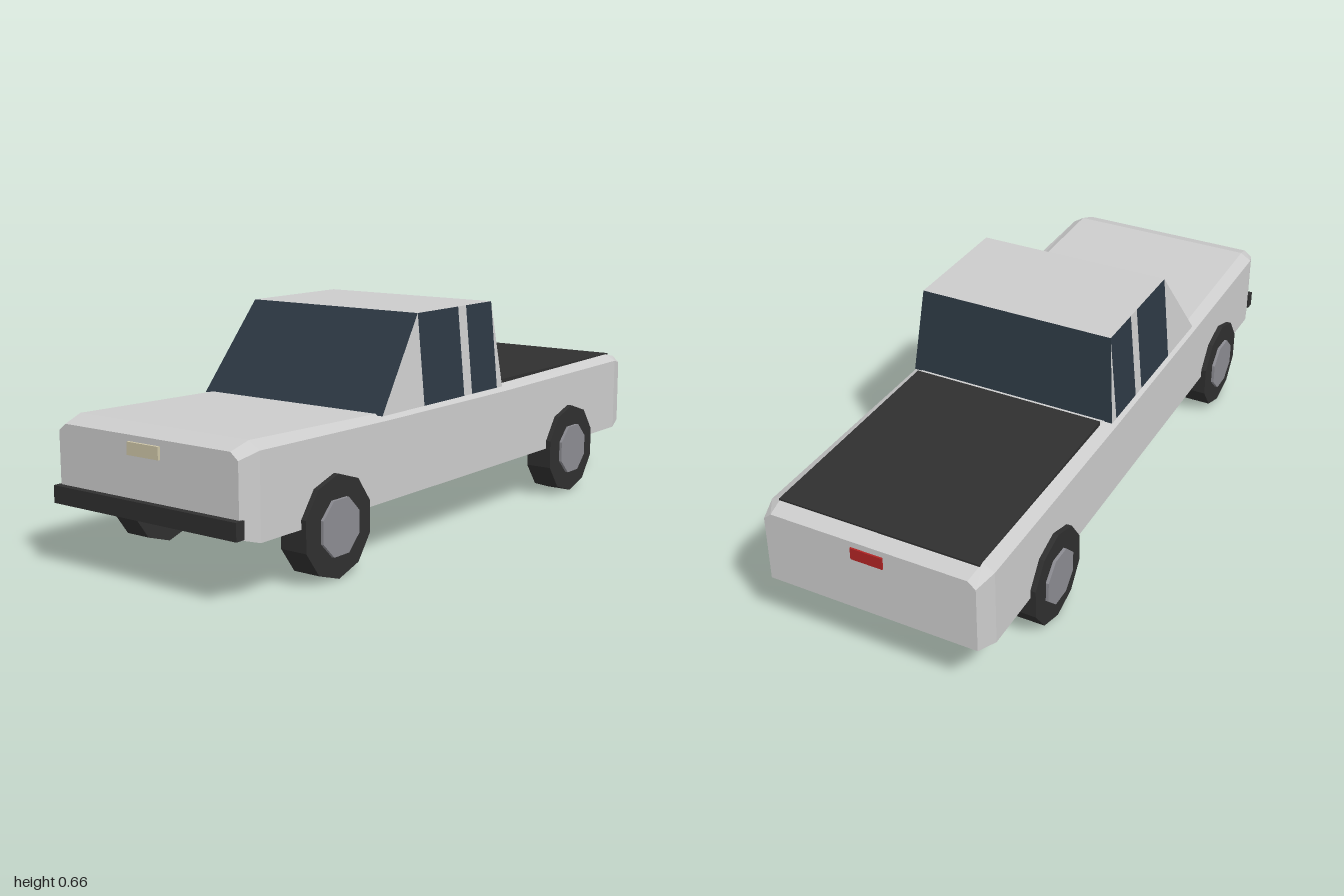
import * as THREE from 'three';

const material = (color) => new THREE.MeshStandardMaterial({ color, flatShading: true, side: THREE.DoubleSide });
const paint = material(0xcccccc);
const glass = material(0x2c3843);
const rubber = material(0x2f2f2f);
const hubMetal = material(0x8c8c92);
const plateTan = material(0xccc4a6);
const lampRed = material(0xb02424);

function mesh(name, geometry, mat) {
  const m = new THREE.Mesh(geometry, mat);
  m.name = name;
  return m;
}

function box(name, mat, [x0, x1], [y0, y1], [z0, z1]) {
  const m = mesh(name, new THREE.BoxGeometry(x1 - x0, y1 - y0, z1 - z0), mat);
  m.position.set((x0 + x1) / 2, (y0 + y1) / 2, (z0 + z1) / 2);
  return m;
}

// Flat panel from corners listed counter-clockwise as seen from outside
function panel(name, mat, corners) {
  const pos = [];
  for (let i = 1; i < corners.length - 1; i++) pos.push(...corners[0], ...corners[i], ...corners[i + 1]);
  const g = new THREE.BufferGeometry();
  g.setAttribute('position', new THREE.Float32BufferAttribute(pos, 3));
  g.computeVertexNormals();
  return mesh(name, g, mat);
}

// Body shell lofted through six-sided cross-sections from nose to tail
function bodyShell() {
  // z, half width, half width of the top, bottom, shoulder, top
  const stations = [
    [0.98, 0.32, 0.295, 0.178, 0.375, 0.395],
    [0.92, 0.337, 0.302, 0.16, 0.393, 0.415],
    [0.4, 0.337, 0.302, 0.16, 0.386, 0.402],
    [-0.2, 0.337, 0.302, 0.16, 0.384, 0.4],
    [-0.93, 0.337, 0.302, 0.16, 0.391, 0.411],
    [-0.995, 0.318, 0.295, 0.175, 0.377, 0.397],
  ];
  const rings = stations.map(([z, w, t, b, s, y]) => [
    [w, b, z], [w, s, z], [t, y, z], [-t, y, z], [-w, s, z], [-w, b, z],
  ]);
  const pos = [];
  const tri = (a, b, c) => pos.push(...a, ...b, ...c);
  for (let i = 0; i < rings.length - 1; i++) {
    for (let j = 0; j < 6; j++) {
      const k = (j + 1) % 6;
      tri(rings[i][j], rings[i + 1][j], rings[i + 1][k]);
      tri(rings[i][j], rings[i + 1][k], rings[i][k]);
    }
  }
  const nose = rings[0], tail = rings[rings.length - 1];
  for (let j = 1; j < 5; j++) {
    tri(nose[0], nose[j], nose[j + 1]);
    tri(tail[0], tail[j + 1], tail[j]);
  }
  const g = new THREE.BufferGeometry();
  g.setAttribute('position', new THREE.Float32BufferAttribute(pos, 3));
  g.computeVertexNormals();
  return mesh('body', g, paint);
}

function cabin() {
  const g = new THREE.Group();
  g.name = 'cabin';
  const low = 0.398, high = 0.66, wLow = 0.328, wHigh = 0.303;
  const frontLow = 0.405, frontHigh = 0.205, backHigh = -0.18, backLow = -0.21;
  g.add(panel('windshield', glass, [
    [-wLow, low, frontLow], [wLow, low, frontLow], [wHigh, high, frontHigh], [-wHigh, high, frontHigh]]));
  g.add(panel('rearWindow', glass, [
    [wLow, low, backLow], [-wLow, low, backLow], [-wHigh, high, backHigh], [wHigh, high, backHigh]]));
  g.add(panel('roof', paint, [
    [-wHigh, high, frontHigh], [wHigh, high, frontHigh], [wHigh, high, backHigh], [-wHigh, high, backHigh]]));

  // Side strips from front to back: z at the bottom and at the top of each dividing line
  const lines = [[frontLow, frontHigh], [0.205, 0.205], [0, 0], [-0.042, -0.042], [-0.18, -0.18], [backLow, backHigh]];
  const strips = [['frontPillar', paint], ['frontSideWindow', glass], ['middlePillar', paint],
    ['rearSideWindow', glass], ['rearPillar', paint]];
  for (const side of [1, -1]) {
    strips.forEach(([name, mat], i) => {
      const [a, b] = [lines[i], lines[i + 1]];
      const corners = [[side * wLow, low, a[0]], [side * wLow, low, b[0]], [side * wHigh, high, b[1]]];
      if (a[1] !== b[1]) corners.push([side * wHigh, high, a[1]]);
      if (side < 0) corners.reverse();
      g.add(panel((side > 0 ? 'left ' : 'right ') + name, mat, corners));
    });
  }
  return g;
}

function wheel(side, z) {
  const g = new THREE.Group();
  g.name = (side > 0 ? 'left ' : 'right ') + (z > 0 ? 'frontWheel' : 'rearWheel');
  // Ten-sided tyre standing on a corner, eight-sided hub standing on a flat
  const tyre = new THREE.CylinderGeometry(0.142, 0.142, 0.084, 10, 1, false, Math.PI / 2).rotateZ(Math.PI / 2);
  const hub = new THREE.CylinderGeometry(0.082, 0.082, 0.03, 8, 1, false, Math.PI / 8).rotateZ(Math.PI / 2);
  const hubMesh = mesh('hub', hub, hubMetal);
  hubMesh.position.x = side * 0.036;
  g.add(mesh('tyre', tyre, rubber), hubMesh);
  g.position.set(side * 0.311, 0.142, z);
  return g;
}

export function createModel() {
  const truck = new THREE.Group();
  truck.name = 'pickupTruck';
  truck.add(bodyShell(), cabin());
  truck.add(box('bedCover', rubber, [-0.302, 0.302], [0.38, 0.413], [-0.945, -0.235]));
  truck.add(box('frontBumper', rubber, [-0.328, 0.328], [0.178, 0.227], [0.97, 1]));
  truck.add(box('frontPlate', plateTan, [-0.056, 0.056], [0.343, 0.378], [0.97, 0.988]));
  truck.add(box('rearLamp', lampRed, [-0.048, 0.048], [0.343, 0.379], [-1, -0.98]));
  for (const side of [1, -1]) for (const z of [0.63, -0.605]) truck.add(wheel(side, z));
  return truck;
}
